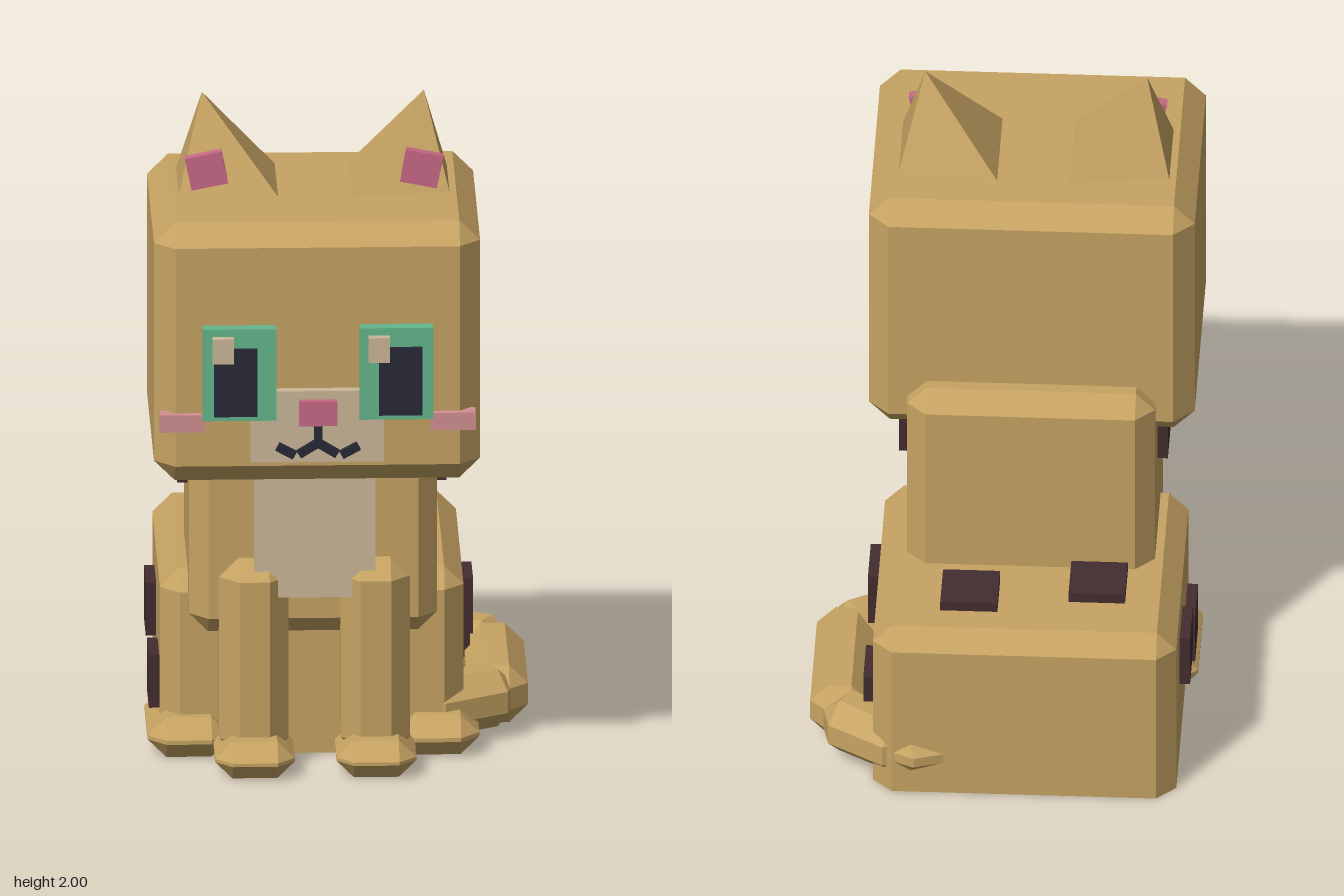
import * as THREE from 'three';
import { ConvexGeometry } from 'three/addons/geometries/ConvexGeometry.js';

const MID = -0.075; // symmetry plane of the cat

const mat = (name, color) => {
  const m = new THREE.MeshStandardMaterial({ color, flatShading: true });
  m.name = name;
  return m;
};

export function createModel() {
  const cat = new THREE.Group();
  cat.name = 'cat';

  const fur = mat('tanFur', 0xc6a363);
  const cream = mat('creamFur', 0xcbb898);
  const spot = mat('darkSpot', 0x432c30);
  const green = mat('greenIris', 0x64b68b);
  const black = mat('darkPupil', 0x29293a);
  const pink = mat('pinkSkin', 0xc86a86);
  const blush = mat('blush', 0xd28f90);

  const add = (name, geometry, material) => {
    const mesh = new THREE.Mesh(geometry, material);
    mesh.name = name;
    cat.add(mesh);
    return mesh;
  };

  // Plain box given by its limits
  const box = (name, material, x0, x1, y0, y1, z0, z1) => {
    const mesh = add(name, new THREE.BoxGeometry(x1 - x0, y1 - y0, z1 - z0), material);
    mesh.position.set((x0 + x1) / 2, (y0 + y1) / 2, (z0 + z1) / 2);
    return mesh;
  };

  // Box with cut edges; flatBottom leaves the lowest edges uncut
  const chamferBox = (name, x0, x1, y0, y1, z0, z1, c, flatBottom = false) => {
    const h = [(x1 - x0) / 2, (y1 - y0) / 2, (z1 - z0) / 2];
    const points = [];
    for (const sx of [-1, 1]) for (const sy of [-1, 1]) for (const sz of [-1, 1]) {
      const cut = flatBottom && sy < 0;
      for (let axis = 0; axis < 3; axis++) {
        if (cut && axis === 1) continue;
        const p = h.map((v, i) => (i === axis || (cut && i === 1) ? v : v - c));
        points.push(new THREE.Vector3(sx * p[0], sy * p[1], sz * p[2]));
      }
    }
    const mesh = add(name, new ConvexGeometry(points), fur);
    mesh.position.set((x0 + x1) / 2, (y0 + y1) / 2, (z0 + z1) / 2);
    return mesh;
  };

  // Head, torso and haunches
  chamferBox('head', -0.545, 0.395, 0.95, 1.73, -0.16, 0.6, 0.06);
  chamferBox('torso', -0.435, 0.28, 0.4, 1.13, -0.25, 0.317, 0.055);
  chamferBox('haunches', -0.515, 0.36, 0.005, 0.55, -0.62, 0.19, 0.056, true);
  box('chest', cream, -0.25, 0.1, 0.53, 1.0, 0.28, 0.355);

  // Parts that are mirrored left and right
  for (const s of [-1, 1]) {
    const side = s > 0 ? 'left' : 'right';
    const X = (d) => MID + s * d;
    const span = (a, b) => [Math.min(X(a), X(b)), Math.max(X(a), X(b))];

    chamferBox(side + 'FrontLeg', ...span(0.075, 0.275), 0.04, 0.64, 0.18, 0.38, 0.056);
    chamferBox(side + 'FrontPaw', ...span(0.06, 0.29), 0.005, 0.115, 0.2, 0.47, 0.05);
    chamferBox(side + 'HindPaw', ...span(0.24, 0.478), 0.005, 0.125, -0.12, 0.27, 0.054);

    const ear = [
      [X(0.105), 1.73, 0], [X(0.39), 1.73, 0.03], [X(0.39), 1.73, 0.28],
      [X(0.105), 1.73, 0.31], [X(0.32), 2, 0.155],
    ];
    add(side + 'Ear', new ConvexGeometry(ear.map((p) => new THREE.Vector3(...p))), fur);
    const inner = box(side + 'InnerEar', pink, X(0.31) - 0.054, X(0.31) + 0.054, 1.751, 1.849, 0.25, 0.28);
    inner.rotation.z = -s * 0.2;

    // Eyes and cheeks
    box(side + 'Iris', green, ...span(0.12, 0.332), 1.16, 1.437, 0.59, 0.64);
    box(side + 'Pupil', black, ...span(0.175, 0.3), 1.175, 1.38, 0.62, 0.65);
    const glint = s > 0 ? 0.07 : -0.38;
    box(side + 'EyeGlint', cream, glint, glint + 0.062, 1.34, 1.415, 0.62, 0.665);
    box(side + 'Cheek', blush, ...span(0.325, 0.455), 1.12, 1.172, 0.57, 0.62);

    // Mouth strokes
    const inStroke = box(side + 'MouthInner', black, X(0.03) - 0.03, X(0.03) + 0.03, 1.06, 1.085, 0.61, 0.645);
    inStroke.rotation.z = -s * 0.55;
    const outStroke = box(side + 'MouthOuter', black, X(0.092) - 0.028, X(0.092) + 0.028, 1.055, 1.08, 0.61, 0.645);
    outStroke.rotation.z = s * 0.5;

    // Torso spots
    box(side + 'TorsoSpot', spot, ...(s > 0 ? [0.25, 0.311] : [-0.465, -0.41]), 0.803, 0.965, -0.05, 0.115);
  }

  // Muzzle
  box('muzzle', cream, -0.27, 0.115, 1.03, 1.245, 0.58, 0.63);
  box('nose', pink, -0.13, -0.02, 1.145, 1.22, 0.6, 0.65);
  box('mouthLine', black, -0.087, -0.063, 1.08, 1.15, 0.61, 0.645);

  // Haunch spots: two on each side, two on top
  box('leftSpotFront', spot, 0.33, 0.393, 0.29, 0.455, -0.19, -0.028);
  box('leftSpotRear', spot, 0.33, 0.393, 0.13, 0.29, -0.46, -0.3);
  box('rightSpotRear', spot, -0.545, -0.49, 0.235, 0.395, -0.37, -0.208);
  box('rightSpotFront', spot, -0.545, -0.49, 0.11, 0.27, -0.08, 0.08);
  box('topSpotRight', spot, -0.36, -0.197, 0.52, 0.58, -0.422, -0.26);
  box('topSpotLeft', spot, 0.005, 0.17, 0.52, 0.58, -0.482, -0.32);

  // Tail wrapped around the left side: centre x, z, length, turn
  const tail = [
    [0.21, -0.565, 0.22, 1.9],
    [0.365, -0.485, 0.3, 1.0],
    [0.463, -0.19, 0.5, 0],
    [0.355, 0.065, 0.32, -1.05],
  ];
  tail.forEach(([x, z, length, turn], i) => {
    const w = i === 0 ? 0.07 : 0.087;
    const y = i === 0 ? 0.125 : 0.118;
    const seg = chamferBox('tailSegment' + (i + 1), x - w, x + w, y - w, y + w, z - length / 2, z + length / 2, 0.055);
    seg.rotation.y = turn;
  });

  return cat;
}
